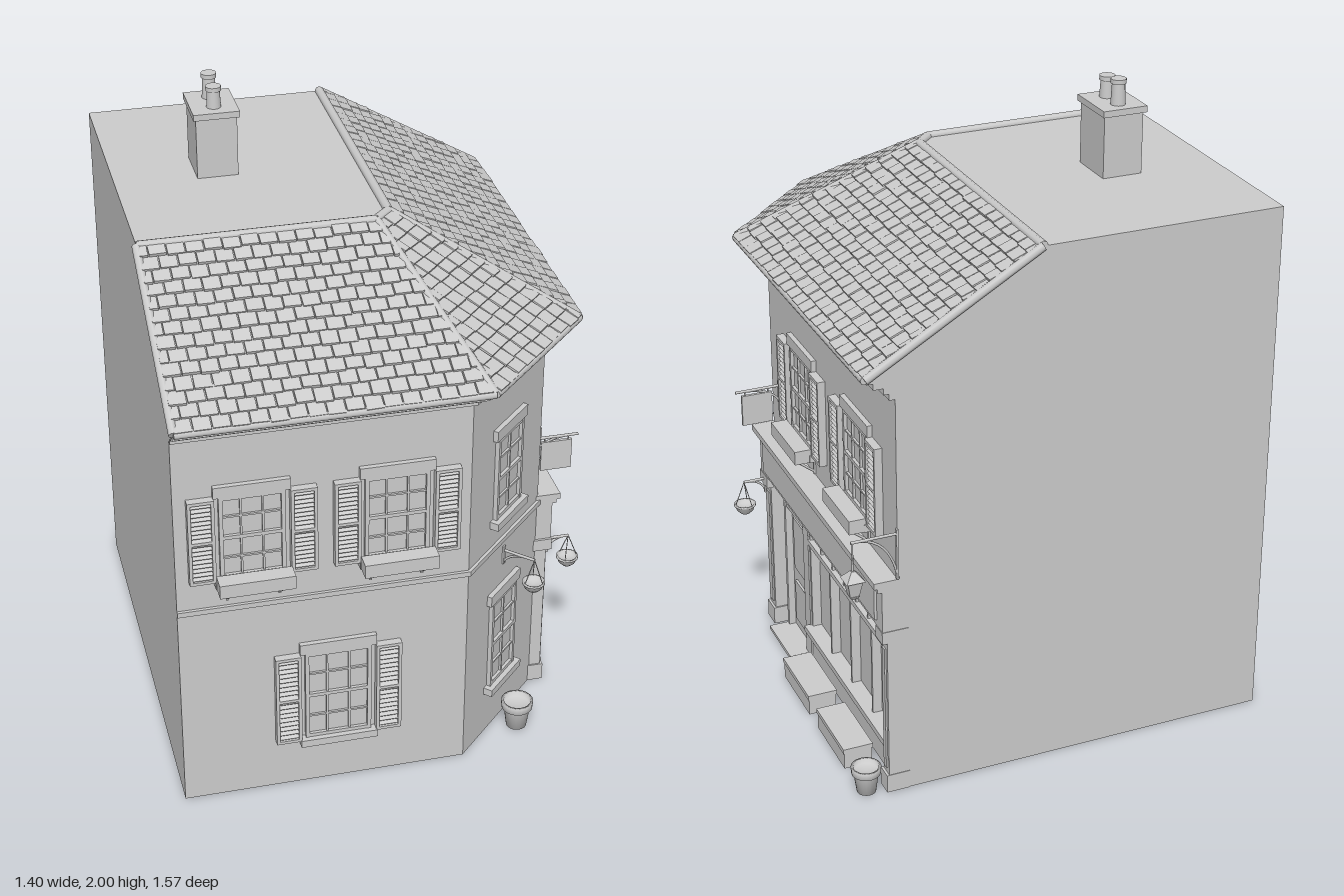
import * as THREE from 'three';
import { mergeGeometries } from 'three/addons/utils/BufferGeometryUtils.js';
import { ConvexGeometry } from 'three/addons/geometries/ConvexGeometry.js';

const stone = new THREE.MeshStandardMaterial({ color: 0xcccccc });
stone.name = 'pale grey';
const V = (x, y, z) => new THREE.Vector3(x, y, z);

function add(parent, name, geo, x = 0, y = 0, z = 0) {
  const m = new THREE.Mesh(geo, stone);
  m.name = name;
  m.position.set(x, y, z);
  parent.add(m);
  return m;
}
// Box given by its x and y ranges and its z range
function box(parent, name, x0, x1, y0, y1, z0, z1) {
  return add(parent, name, new THREE.BoxGeometry(x1 - x0, y1 - y0, z1 - z0), (x0 + x1) / 2, (y0 + y1) / 2, (z0 + z1) / 2);
}
function rod(parent, name, a, b, r, sides = 8) {
  const m = add(parent, name, new THREE.CylinderGeometry(r, r, a.distanceTo(b), sides));
  m.position.copy(a).lerp(b, 0.5);
  m.quaternion.setFromUnitVectors(V(0, 1, 0), b.clone().sub(a).normalize());
  return m;
}
function group(parent, name, x, y, z, turn = 0) {
  const g = new THREE.Group();
  g.name = name;
  g.position.set(x, y, z);
  g.rotation.y = turn;
  parent.add(g);
  return g;
}
// Horizontal slab from [x, z] corners
function slab(parent, name, pts, y0, y1) {
  const shape = new THREE.Shape(pts.map(([x, z]) => new THREE.Vector2(x, -z)));
  const geo = new THREE.ExtrudeGeometry(shape, { depth: y1 - y0, bevelEnabled: false });
  geo.rotateX(-Math.PI / 2);
  return add(parent, name, geo, 0, y0, 0);
}
// House plan with its three street sides pushed out by d
function plan(d) {
  const k = d * 0.414;
  return [[-0.69, 0.685 + d], [0.208 + k, 0.685 + d], [0.53 + d, 0.363 + k], [0.53 + d, -0.745], [-0.69, -0.745]];
}

function shutter(parent, x0, x1, y0, y1) {
  const g = group(parent, 'shutter', 0, 0, 0), t = 0.01;
  box(g, 'shutterBack', x0, x1, y0, y1, 0, 0.006);
  for (const [a, b] of [[x0, x0 + t], [x1 - t, x1]]) box(g, 'shutterStile', a, b, y0, y1, 0, 0.025);
  const mid = (y0 + y1) / 2;
  for (const y of [y0 + t / 2, mid, y1 - t / 2]) box(g, 'shutterRail', x0, x1, y - t / 2, y + t / 2, 0, 0.025);
  const n = 18, step = (y1 - y0 - 2 * t) / n;
  for (let i = 0; i < n; i++) {
    const y = y0 + t + (i + 0.5) * step;
    box(g, 'slat', x0 + t, x1 - t, y - 0.002, y + 0.002, 0.004, 0.022).rotation.x = 0.6;
  }
}

// Sash window on a wall plane facing local +z
function sashWindow(wall, cx, y0, y1, w, cols, { shutters = false, flowerBox = false } = {}) {
  const g = group(wall, 'window', cx, 0, 0), h = w / 2, t = 0.012;
  box(g, 'glass', -h, h, y0, y1, 0, 0.003);
  for (const s of [-1, 1]) box(g, 'frameSide', s * (h - t / 2) - t / 2, s * (h - t / 2) + t / 2, y0, y1, 0, 0.014);
  for (const y of [y0, y1 - t, (y0 + y1 - t) / 2]) box(g, 'frameRail', -h, h, y, y + t, 0, 0.013);
  for (let i = 1; i < cols; i++) box(g, 'glazingBar', -h + w * i / cols - 0.003, -h + w * i / cols + 0.003, y0, y1, 0, 0.01);
  for (const f of [0.25, 0.75]) box(g, 'glazingBar', -h, h, y0 + (y1 - y0) * f - 0.003, y0 + (y1 - y0) * f + 0.003, 0, 0.01);
  box(g, 'lintel', -h - 0.016, h + 0.016, y1, y1 + 0.037, -0.01, 0.016);
  box(g, 'sill', -h - 0.018, h + 0.018, y0 - 0.025, y0, -0.01, 0.03);
  if (shutters) {
    shutter(g, -h - 0.094, -h - 0.014, y0 - 0.004, y1);
    shutter(g, h + 0.014, h + 0.094, y0 - 0.004, y1);
  }
  if (flowerBox) {
    box(g, 'flowerBox', -h - 0.015, h + 0.015, y0 - 0.025, y0 + 0.02, 0.025, 0.078);
    for (const s of [-1, 1]) {
      rod(g, 'boxBracket', V(s * 0.08, y0 - 0.025, 0.07), V(s * 0.08, y0 - 0.08, 0), 0.004, 6);
      box(g, 'bracketPlate', s * 0.08 - 0.004, s * 0.08 + 0.004, y0 - 0.085, y0 - 0.02, 0, 0.006);
    }
  }
}

// Iron arm reaching out along local +z with a curved brace
function bracket(g, y, reach, drop) {
  rod(g, 'arm', V(0, y, 0), V(0, y, reach), 0.005, 6);
  box(g, 'wallPlate', -0.006, 0.006, y - drop, y + 0.015, 0, 0.006);
  const curve = new THREE.QuadraticBezierCurve3(V(0, y - drop, 0), V(0, y - drop * 0.1, reach * 0.15), V(0, y, reach * 0.8));
  add(g, 'brace', new THREE.TubeGeometry(curve, 10, 0.004, 6));
}
function hangingBasket(parent, x, z, turn, armY, reach, bowlY) {
  const g = group(parent, 'hangingBasket', x, 0, z, turn);
  bracket(g, armY, reach, 0.05);
  const profile = [[0, -0.022], [0.016, -0.018], [0.028, -0.006], [0.033, 0.01], [0.036, 0.01], [0.036, 0.016], [0.03, 0.016], [0.026, 0.004], [0, 0.002]];
  add(g, 'bowl', new THREE.LatheGeometry(profile.map(p => new THREE.Vector2(...p)), 20), 0, bowlY, reach);
  for (let i = 0; i < 3; i++) {
    const a = i * Math.PI * 2 / 3;
    rod(g, 'chain', V(0, armY, reach), V(0.032 * Math.sin(a), bowlY + 0.014, reach + 0.032 * Math.cos(a)), 0.0015, 5);
  }
}
function plantPot(parent, x, z, s) {
  const profile = [[0, 0], [0.033, 0], [0.043, 0.072], [0.05, 0.072], [0.052, 0.097], [0.043, 0.097], [0.041, 0.08], [0, 0.08]];
  add(parent, 'plantPot', new THREE.LatheGeometry(profile.map(([r, y]) => new THREE.Vector2(r * s, y * s)), 20), x, 0, z);
}

// Rows of slightly uneven tiles on a slope: a-b eave, c-d ridge
let seed = 7;
const rnd = () => (seed = (seed * 16807) % 2147483647) / 2147483647 - 0.5;
function tiles(parent, a, b, c, d) {
  const u = b.clone().sub(a).normalize(), rows = 14, tw = 0.055;
  const rise = d.clone().sub(a);
  const v = rise.clone().addScaledVector(u, -rise.dot(u));
  const rowH = v.length() / rows;
  v.normalize();
  const basis = new THREE.Matrix4().makeBasis(u, v, u.clone().cross(v)), list = [];
  for (let r = 0; r < rows; r++) {
    const t = (r + 0.5) / rows, p = a.clone().lerp(d, t), len = p.distanceTo(b.clone().lerp(c, t));
    for (let s = r % 2 ? -tw / 2 : 0; s < len; s += tw) {
      const s0 = Math.max(s, 0), s1 = Math.min(s + tw, len);
      if (s1 - s0 < 0.008) continue;
      const g = new THREE.BoxGeometry((s1 - s0) * 0.93, rowH * 1.12, 0.011);
      g.rotateX(-0.16 + rnd() * 0.06).rotateZ(rnd() * 0.05).translate(0, rnd() * 0.006, 0.006 + rnd() * 0.004);
      g.applyMatrix4(basis);
      const q = p.clone().addScaledVector(u, (s0 + s1) / 2);
      list.push(g.translate(q.x, q.y, q.z));
    }
  }
  add(parent, 'roofTiles', mergeGeometries(list));
}

function buildRoof(house) {
  const roof = group(house, 'roof', 0, 0, 0);
  const E = plan(0.09).map(([x, z]) => V(x, 1.39, z));
  const R = [[-0.69, 0.225], [0.03, 0.225], [0.08, 0.175], [0.08, -0.745], [-0.69, -0.745]].map(([x, z]) => V(x, 1.705, z));
  add(roof, 'roofBody', new ConvexGeometry([...E, ...R]));
  for (let i = 0; i < 3; i++) {
    tiles(roof, E[i], E[i + 1], R[i + 1], R[i]);
    rod(roof, 'ridge', R[i], R[i + 1], 0.015);
    rod(roof, 'gutter', E[i], E[i + 1], 0.013);
  }
  for (let i = 0; i < 4; i++) rod(roof, 'hip', E[i], R[i], 0.014);
  // Stepped cornice below the eaves
  [[0.085, 1.375, 1.392], [0.065, 1.355, 1.375], [0.035, 1.335, 1.355], [0.018, 1.315, 1.335]]
    .forEach(([d, y0, y1]) => slab(roof, 'cornice', plan(d), y0, y1));
  // Chimney with two pots
  box(roof, 'chimney', -0.435, -0.307, 1.7, 1.9, -0.335, -0.175);
  box(roof, 'chimneyCap', -0.443, -0.299, 1.9, 1.92, -0.346, -0.166);
  for (const [z, h] of [[-0.295, 0.08], [-0.22, 0.068]]) {
    add(roof, 'chimneyPot', new THREE.CylinderGeometry(0.019, 0.023, h, 16), -0.37, 1.92 + h / 2, z);
    add(roof, 'chimneyPotRim', new THREE.CylinderGeometry(0.024, 0.024, 0.014, 16), -0.37, 1.913 + h, z);
  }
}

// Shopfront in a frame whose +z faces the street and +x runs towards the back
function buildShop(house) {
  const s = group(house, 'shopfront', 0.5, 0, 0, Math.PI / 2);
  box(s, 'fascia', -0.365, 0.745, 0.565, 0.715, -0.01, 0.08);
  box(s, 'signPanel', -0.32, 0.7, 0.585, 0.695, 0.08, 0.088);
  box(s, 'fasciaCornice', -0.37, 0.745, 0.715, 0.735, 0, 0.104);
  box(s, 'fasciaBead', -0.368, 0.745, 0.7, 0.715, 0, 0.093);
  for (const [a, b] of [[-0.365, -0.31], [0.7, 0.745]]) {
    box(s, 'pilaster', a, b, 0, 0.565, 0, 0.066);
    box(s, 'pilasterBase', a - 0.005, Math.min(b + 0.005, 0.747), 0, 0.06, 0, 0.074);
    box(s, 'capital', a - 0.008, Math.min(b + 0.008, 0.747), 0.525, 0.565, 0, 0.082);
    box(s, 'pilasterPanel', a + 0.012, b - 0.012, 0.08, 0.5, 0.066, 0.071);
  }
  // Door, fanlight and step
  box(s, 'door', -0.262, -0.09, 0.01, 0.47, 0, 0.012);
  for (const [y0, y1] of [[0.25, 0.44], [0.05, 0.2]]) box(s, 'doorPanel', -0.23, -0.12, y0, y1, 0.012, 0.02);
  add(s, 'doorKnob', new THREE.SphereGeometry(0.008, 12, 8), -0.108, 0.22, 0.022);
  for (const [a, b] of [[-0.278, -0.262], [-0.09, -0.04]]) box(s, 'doorPost', a, b, 0, 0.565, 0, 0.035);
  box(s, 'fanlightRail', -0.262, -0.09, 0.465, 0.482, 0, 0.03);
  box(s, 'fanlightBar', -0.18, -0.172, 0.482, 0.565, 0, 0.022);
  box(s, 'doorStep', -0.28, -0.07, 0, 0.012, 0, 0.1);
  // Display window
  box(s, 'stallRiser', -0.04, 0.7, 0, 0.115, 0, 0.03);
  box(s, 'shopSill', -0.045, 0.7, 0.115, 0.135, 0, 0.055);
  box(s, 'shopHead', -0.04, 0.7, 0.55, 0.565, 0, 0.04);
  box(s, 'transom', -0.04, 0.7, 0.44, 0.458, 0, 0.036);
  for (let i = 0; i <= 4; i++) box(s, 'mullion', -0.04 + i * 0.183, -0.03 + i * 0.183, 0.135, 0.45, 0, 0.03);
  for (let i = 0; i <= 7; i++) box(s, 'topMullion', -0.04 + i * 0.1045, -0.032 + i * 0.1045, 0.45, 0.555, 0, 0.03);
  // Street planters
  for (const x of [0.02, 0.34]) {
    box(s, 'planter', x, x + 0.24, 0, 0.065, 0.06, 0.15);
    box(s, 'planterRim', x - 0.003, x + 0.243, 0.055, 0.07, 0.057, 0.153);
  }
}

export function createModel() {
  const house = new THREE.Group();
  house.name = 'cornerShop';
  // Walls, set back behind the shopfront
  slab(house, 'lowerWalls', [[-0.69, 0.685], [0.208, 0.685], [0.53, 0.363], [0.5, 0.355], [0.5, -0.745], [-0.69, -0.745]], 0, 0.565);
  slab(house, 'upperWalls', plan(0), 0.565, 1.385);
  slab(house, 'stringCourse', plan(0.01), 0.703, 0.72);
  buildRoof(house);
  buildShop(house);

  // Windows
  const front = group(house, 'frontWall', 0, 0, 0.685);
  const side = group(house, 'sideWall', 0.53, 0, 0, Math.PI / 2);
  const corner = group(house, 'cornerWall', 0.369, 0, 0.524, Math.PI / 4);
  const upper = { shutters: true, flowerBox: true };
  for (const x of [-0.458, -0.021]) sashWindow(front, x, 0.825, 1.11, 0.198, 3, upper);
  for (const x of [-0.037, 0.442]) sashWindow(side, x, 0.825, 1.11, 0.198, 3, upper);
  sashWindow(front, -0.202, 0.18, 0.502, 0.208, 3, { shutters: true });
  sashWindow(corner, 0, 0.82, 1.11, 0.16, 2);
  sashWindow(corner, 0, 0.18, 0.502, 0.16, 2);

  // Hanging sign
  const sign = group(house, 'hangingSign', 0.53, 0, 0.29, Math.PI / 2);
  bracket(sign, 0.9, 0.15, 0.06);
  box(sign, 'signBoard', -0.005, 0.005, 0.78, 0.885, 0.028, 0.13);
  for (const z of [0.04, 0.118]) rod(sign, 'signHook', V(0, 0.88, z), V(0, 0.9, z), 0.002, 5);

  // Wall lantern
  const lamp = group(house, 'wallLantern', 0.53, 0, -0.75, Math.PI / 2);
  bracket(lamp, 0.89, 0.145, 0.15);
  rod(lamp, 'lanternHook', V(0, 0.89, 0.14), V(0, 0.79, 0.14), 0.003, 6);
  const lantern = (name, rTop, rBottom, h, y) =>
    add(lamp, name, new THREE.CylinderGeometry(rTop, rBottom, h, 4).rotateY(Math.PI / 4).toNonIndexed(), 0, y, 0.14).geometry.computeVertexNormals();
  lantern('lanternRoof', 0.008, 0.041, 0.028, 0.784);
  lantern('lanternGlass', 0.033, 0.02, 0.05, 0.745);
  lantern('lanternBase', 0.022, 0.012, 0.012, 0.714);

  // Baskets and pots
  hangingBasket(house, 0.369, 0.524, Math.PI / 4, 0.66, 0.11, 0.565);
  hangingBasket(house, 0.575, 0.338, Math.PI / 2, 0.545, 0.075, 0.45);
  plantPot(house, 0.42, 0.577, 1);
  plantPot(house, 0.628, -0.71, 0.9);
  return house;
}
